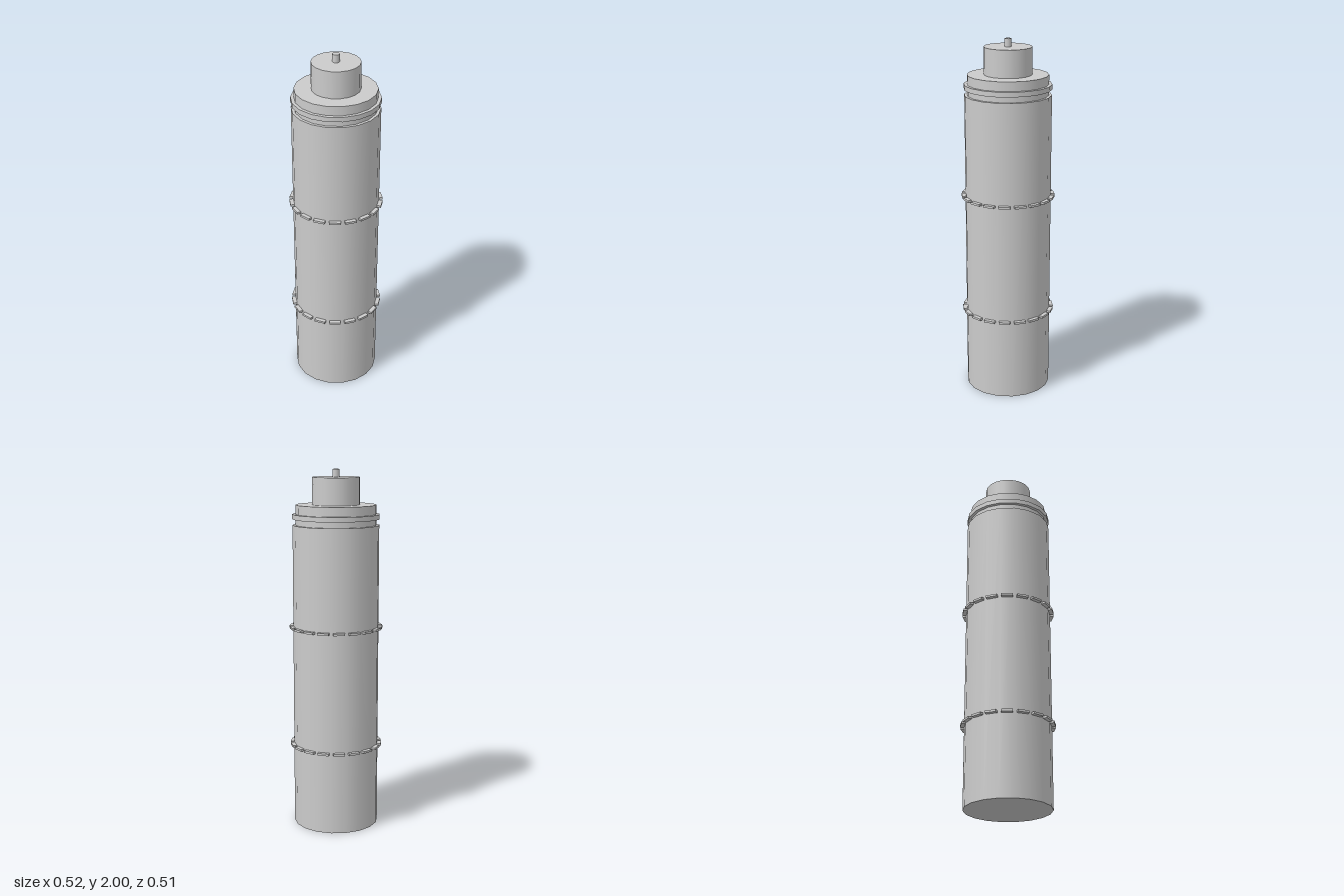
import * as THREE from 'three';

const SIDES = 18;

export function createModel() {
  const model = new THREE.Group();
  const material = new THREE.MeshStandardMaterial({ color: 0xcccccc });

  // Upright prism between two heights, with a corner on the x axis
  const section = (name, radius, y0, y1) => {
    const geometry = new THREE.CylinderGeometry(radius, radius, y1 - y0, SIDES, 1, false, Math.PI / 2);
    const mesh = new THREE.Mesh(geometry, material);
    mesh.name = name;
    mesh.position.y = (y0 + y1) / 2;
    model.add(mesh);
  };

  section('body', 0.238, 0, 1.698);
  section('neck', 0.222, 1.698, 1.808);
  section('collarRing', 0.24, 1.73, 1.757);
  section('cap', 0.131, 1.808, 1.957);
  section('pin', 0.0195, 1.957, 2);

  // Two rings of small tabs, one tab on each face of the body
  const tabGeometry = new THREE.BoxGeometry(0.063, 0.012, 0.04);
  for (const [name, y] of [['lowerTabRing', 0.461], ['upperTabRing', 1.133]]) {
    const ring = new THREE.Group();
    ring.name = name;
    ring.position.y = y;
    for (let i = 0; i < SIDES; i++) {
      const angle = (i / SIDES) * Math.PI * 2;
      const tab = new THREE.Mesh(tabGeometry, material);
      tab.name = 'tab';
      tab.position.set(Math.sin(angle) * 0.237, 0, Math.cos(angle) * 0.237);
      tab.rotation.y = angle;
      ring.add(tab);
    }
    model.add(ring);
  }

  return model;
}
